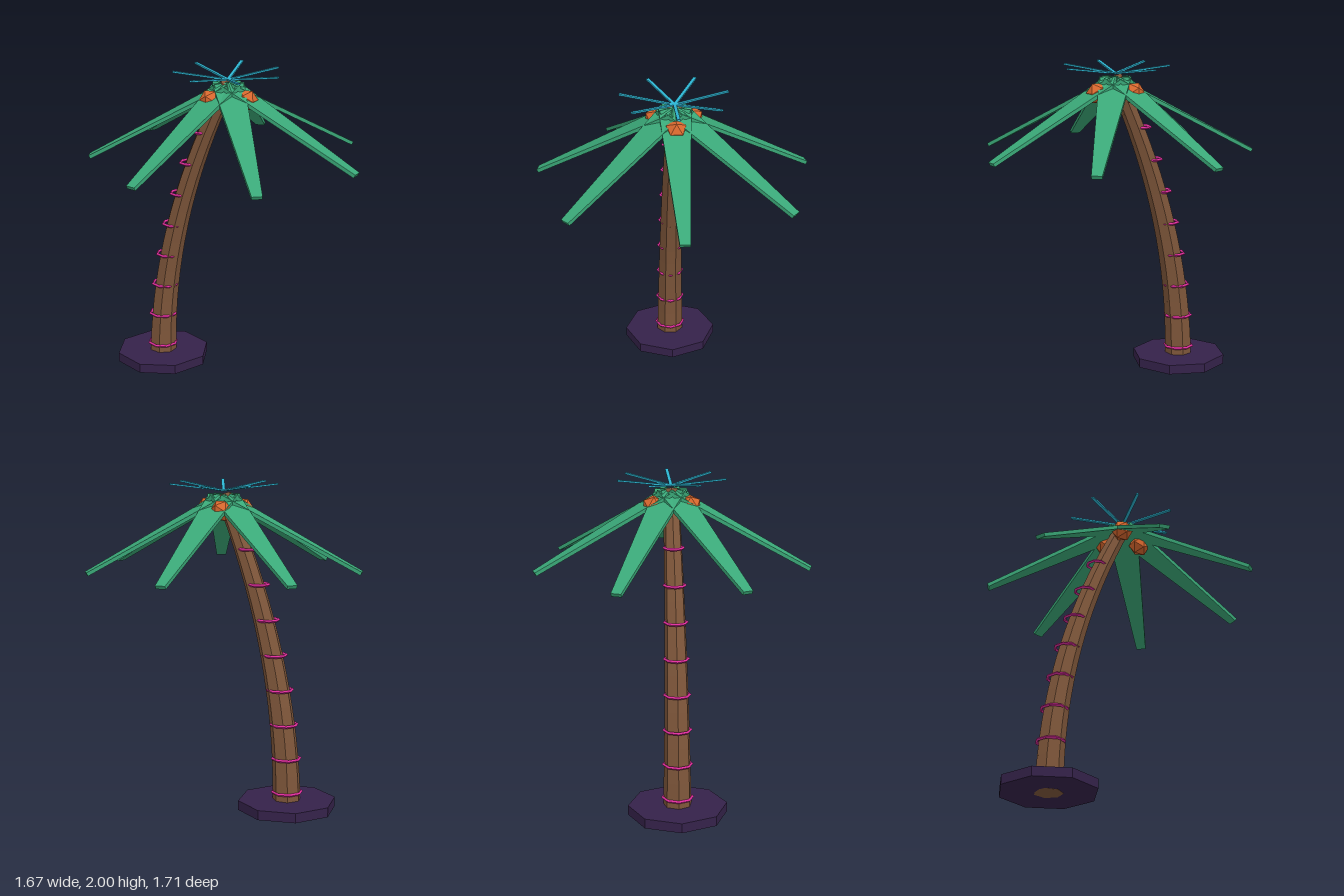
import * as THREE from 'three';

const mat = (name, color) => {
  const m = new THREE.MeshStandardMaterial({ color, flatShading: true });
  m.name = name;
  return m;
};

export function createModel() {
  const palm = new THREE.Group();
  palm.name = 'palmTree';
  const soil = mat('dark purple', 0x35224a);
  const bark = mat('brown bark', 0x7e563a);
  const leaf = mat('green leaf', 0x3aa878);
  const glow = mat('magenta ring', 0xdc2c9a);
  const nut = mat('orange nut', 0xd9682e);
  const spike = mat('cyan spike', 0x2cb4d2);

  const add = (name, geometry, material, parent = palm) => {
    const mesh = new THREE.Mesh(geometry, material);
    mesh.name = name;
    parent.add(mesh);
    return mesh;
  };

  const baseX = -0.53, crownX = -0.035, height = 1.92;
  // trunk centre line: leans further the higher it gets
  const trunkPoint = t => new THREE.Vector3(baseX + 0.495 * t * t, height * t, 0);
  const trunkRadius = t => 0.09 - 0.04 * t;

  // octagonal base
  add('base', new THREE.CylinderGeometry(0.305, 0.305, 0.06, 8), soil).position.set(baseX, 0.03, 0);

  // trunk of tilted seven-sided segments with a vertex towards -x
  const trunk = new THREE.Group();
  trunk.name = 'trunk';
  palm.add(trunk);
  const count = 18;
  for (let i = 0; i < count; i++) {
    const a = trunkPoint(i / count), b = trunkPoint((i + 1) / count);
    const dir = b.clone().sub(a);
    const seg = add('trunkSegment', new THREE.CylinderGeometry(
      trunkRadius((i + 1) / count), trunkRadius(i / count), dir.length() * 1.02, 7, 1, false, -Math.PI / 2), bark, trunk);
    seg.position.copy(a).add(b).multiplyScalar(0.5);
    seg.rotation.z = -Math.atan2(dir.x, dir.y);
  }

  // level rings, set a little towards the outside of the bend
  for (let i = 0; i < 8; i++) {
    const t = (i + 0.5) / 9;
    const ring = add('trunkRing', new THREE.TorusGeometry(trunkRadius(t) + 0.003, 0.01, 4, 8).rotateX(Math.PI / 2), glow);
    ring.position.set(trunkPoint(Math.max(0, t - 0.05)).x, height * t, 0);
  }

  // tapered frond running from the crown centre along +x and down
  const frondGeo = new THREE.BoxGeometry(0.98, 0.023, 0.2).translate(0.49, 0, 0);
  const p = frondGeo.attributes.position;
  for (let i = 0; i < p.count; i++) if (p.getX(i) > 0.5) p.setZ(i, p.getZ(i) * 0.32);
  frondGeo.rotateZ(-0.492).translate(0, 1.92, 0);

  const spikeGeo = new THREE.BoxGeometry(0.343, 0.01, 0.02).translate(0.1715, 0, 0)
    .rotateZ(0.135).translate(0, 1.949, 0);

  // seven fronds and seven spikes around the crown
  const crown = new THREE.Group();
  crown.name = 'crown';
  crown.position.x = crownX;
  palm.add(crown);
  for (let i = 0; i < 7; i++) {
    const angle = i * Math.PI * 2 / 7;
    add('frond', frondGeo, leaf, crown).rotation.y = angle;
    add('crownSpike', spikeGeo, spike, crown).rotation.y = angle;
  }

  // three nuts under the fronds
  for (let i = 0; i < 3; i++) {
    const angle = i * Math.PI * 2 / 3;
    add('nut', new THREE.IcosahedronGeometry(0.07, 0), nut, crown)
      .position.set(Math.cos(angle) * 0.13, 1.835, Math.sin(angle) * 0.13);
  }
  return palm;
}
